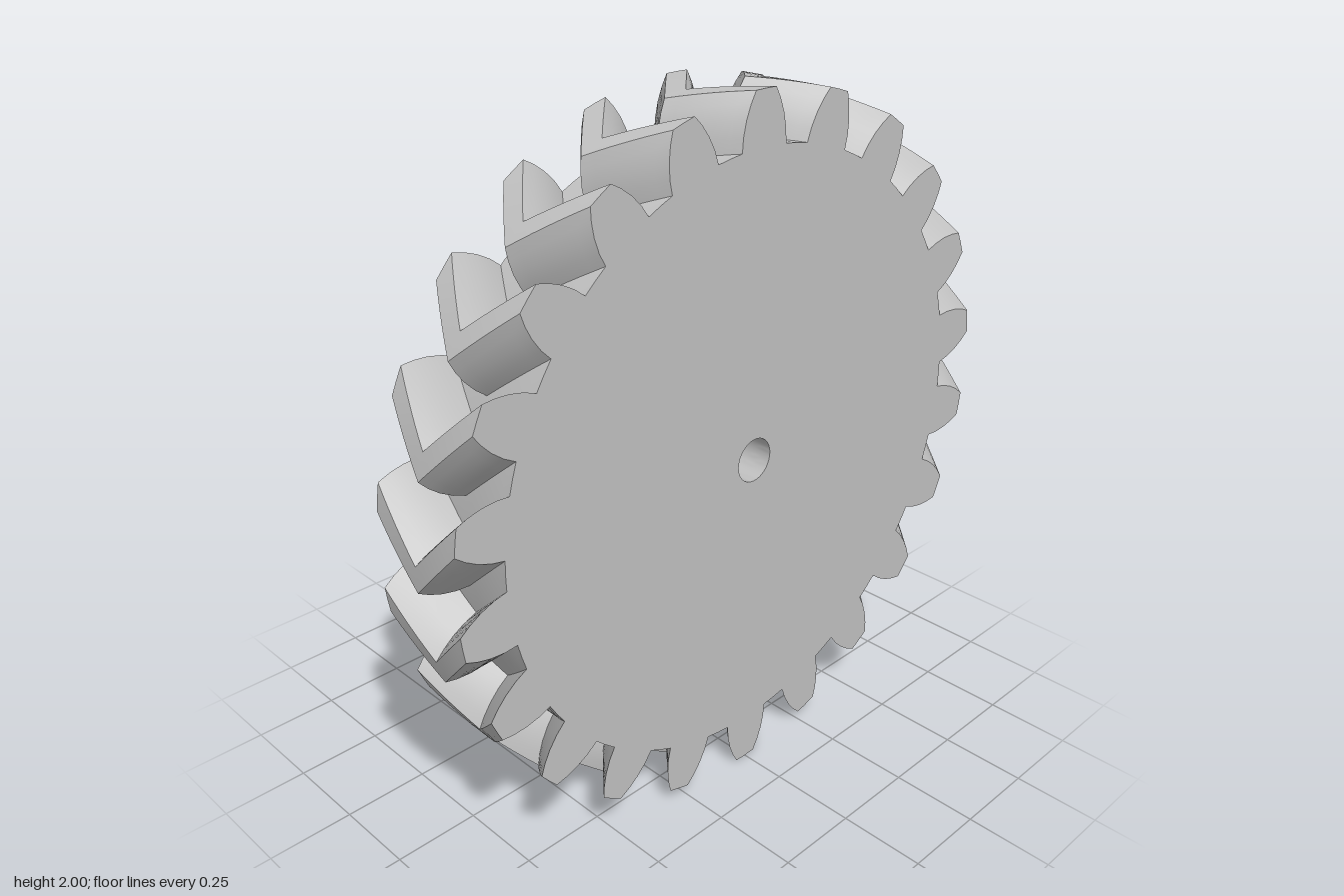
import * as THREE from 'three';
import { toCreasedNormals } from 'three/addons/utils/BufferGeometryUtils.js';

const rad = THREE.MathUtils.degToRad;

// Double-helical gear: a toothed outline is extruded, then twisted to the
// middle of its width and back. flank = [radius, half tooth angle in degrees].
function herringboneGear({ teeth, flank, x0, x1, twist, bore }) {
  const pitch = 360 / teeth;
  const root = flank[0][0], tip = flank[flank.length - 1][0];
  const points = [];
  const add = (r, deg) =>
    points.push(new THREE.Vector2(r * Math.cos(rad(deg)), r * Math.sin(rad(deg))));

  for (let i = 0; i < teeth; i++) {
    const centre = 90 + i * pitch;
    add(root, centre - pitch / 2);
    flank.forEach(([r, a]) => add(r, centre - a));
    add(tip, centre);
    [...flank].reverse().forEach(([r, a]) => add(r, centre + a));
  }

  const shape = new THREE.Shape(points);
  shape.holes.push(new THREE.Path().absarc(0, 0, bore, 0, Math.PI * 2, true));
  const width = x1 - x0;
  const geometry = new THREE.ExtrudeGeometry(shape, {
    depth: width, steps: 12, bevelEnabled: false, curveSegments: 24,
  });

  // Chevron twist, greatest at mid width
  const p = geometry.attributes.position;
  const v = new THREE.Vector3(), axis = new THREE.Vector3(0, 0, 1);
  for (let i = 0; i < p.count; i++) {
    v.fromBufferAttribute(p, i);
    v.applyAxisAngle(axis, rad(twist) * (1 - Math.abs(2 * v.z / width - 1)));
    p.setXYZ(i, v.x, v.y, v.z);
  }
  geometry.rotateY(Math.PI / 2);
  geometry.translate(x0, 1, 0);
  return toCreasedNormals(geometry, rad(26));
}

export function createModel() {
  const group = new THREE.Group();
  group.name = 'compoundGear';
  const grey = new THREE.MeshStandardMaterial({ color: 0xc0c0c0 });
  grey.name = 'light grey';

  const addGear = (name, spec) => {
    const mesh = new THREE.Mesh(herringboneGear(spec), grey);
    mesh.name = name;
    group.add(mesh);
  };

  // Wide wheel
  addGear('largeGear', {
    teeth: 22, x0: 0.057, x1: 0.362, twist: 200 / 22, bore: 0.063,
    flank: [[0.857, 5.4], [0.895, 5.0], [0.935, 4.2], [0.97, 3.2], [1, 2.1]],
  });

  // Pinion fixed to its side
  addGear('smallGear', {
    teeth: 9, x0: -0.362, x1: 0.057, twist: -200 / 9, bore: 0.063,
    flank: [[0.33, 12.8], [0.37, 12.2], [0.41, 10.3], [0.45, 7.6], [0.472, 5.7], [0.485, 4.3]],
  });

  return group;
}
